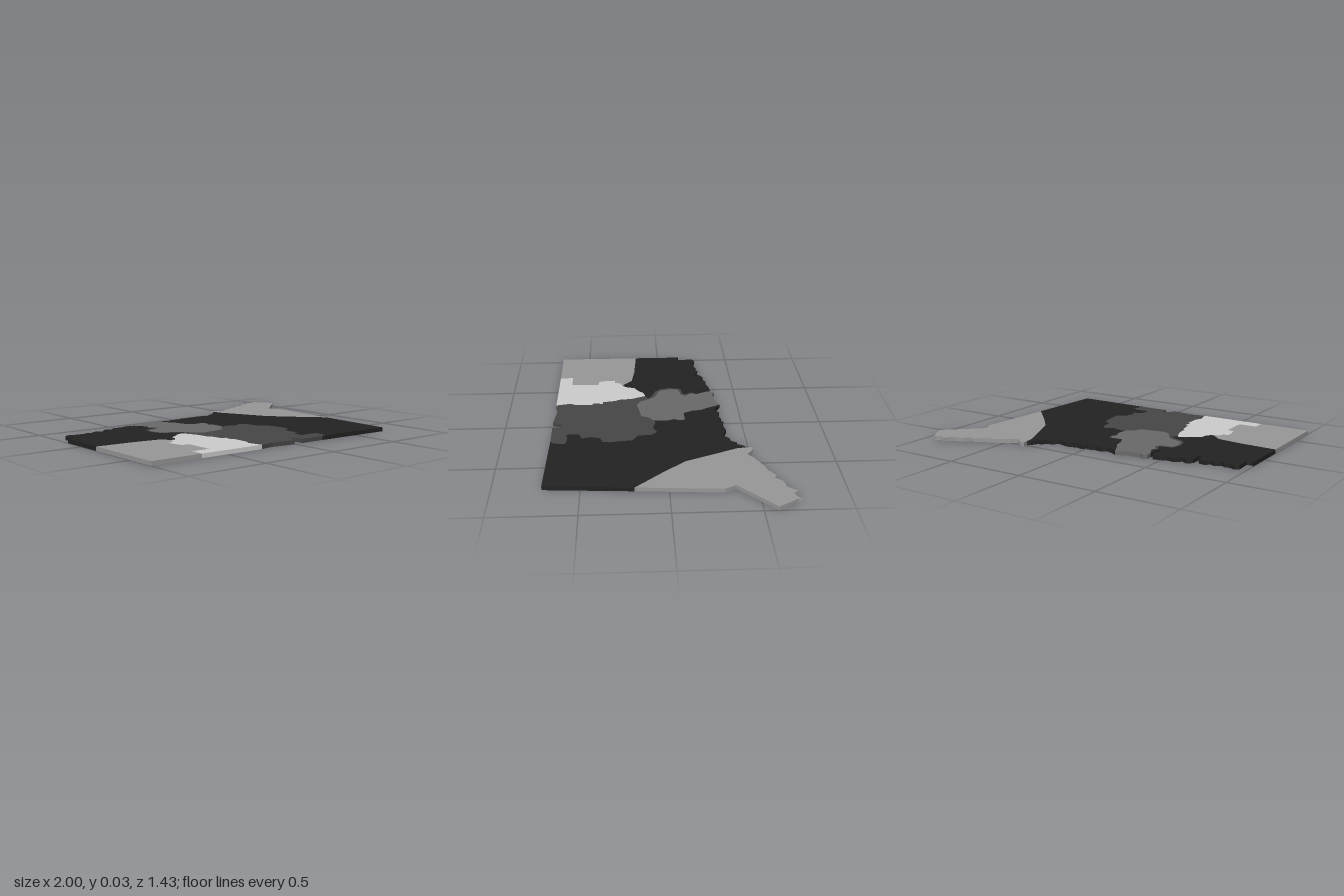
import * as THREE from 'three';

const THICKNESS = 0.025;

// Borders shared by neighbouring regions, as x, z pairs.
const westCoast = [
  -1, -.15, -.98, -.14, -.955, -.15, -.96, -.25, -.93, -.265, -.9, -.25, -.87, -.255, -.845, -.24,
  -.81, -.265, -.78, -.25, -.755, -.275, -.72, -.27, -.705, -.25, -.7, -.185, -.685, -.185,
  -.685, -.28, -.65, -.305, -.62, -.285, -.58, -.32, -.535, -.315, -.49, -.33, -.45, -.335,
  -.435, -.29, -.445, -.225, -.43, -.215, -.42, -.31];
const northCoast = [-.42, -.31, -.42, -.35, -.4, -.36, -.37, -.345, -.3, -.35, -.24, -.37, -.22, -.38];
const centralCoast = [
  -.22, -.38, -.18, -.355, -.14, -.34, -.11, -.365, -.06, -.355, -.02, -.37, 0, -.355, .02, -.38,
  .06, -.37, .13, -.385, .17, -.37, .2, -.36, .235, -.395, .27, -.4, .29, -.435, .31, -.43,
  .335, -.475, .355, -.485];
const eastCoast = [
  .355, -.485, .35, -.52, .38, -.52, .41, -.5, .43, -.48, .45, -.49, .47, -.51, .52, -.535,
  .57, -.56, .62, -.575, .68, -.62, .7, -.6, .74, -.645, .8, -.655, .83, -.69, .845, -.715,
  .86, -.69, .88, -.685, .91, -.7, .925, -.72, .925, -.7, 1, -.58, .775, -.375, .81, -.31, .775, .195];
const eastBorder = [.355, -.485, .36, -.43, .4, -.34, .44, -.25, .5, -.11, .61, .02, .775, .195];
const northWestBorder = [-.42, -.31, -.4, -.27, -.385, -.24, -.4, -.21];
const stripOuter = [
  -.4, -.21, -.41, -.2, -.385, -.165, -.4, -.145, -.47, -.135, -.485, -.06, -.47, 0, -.44, .035,
  -.36, .065, -.335, .09, -.37, .105];
const stripInner = [
  -.4, -.21, -.36, -.16, -.39, -.13, -.46, -.12, -.47, -.07, -.45, 0, -.43, .015, -.36, .04,
  -.33, .07, -.29, .14, -.24, .165, -.15, .15, -.08, .14, -.06, .09, -.015, .06];
const northEastBorder = [
  -.22, -.38, -.18, -.3, -.15, -.25, -.14, -.19, -.11, -.135, -.02, -.14, -.015, -.1,
  -.03, -.07, -.01, -.02, -.015, .06];
const centreEastBorder = [
  -.015, .06, .01, .05, .08, .07, .14, .045, .17, .08, .18, .165, .235, .2, .255, .34, .25, .38,
  .2, .4, .185, .46, .2, .51, .15, .53, .145, .59, .155, .605, .22, .6, .265, .61, .255, .69, .22, .7];
const centreSouth = [
  -.255, .695, -.17, .68, -.1, .69, -.01, .7, 0, .66, .03, .645, .055, .655, .055, .7, .22, .7];
const centreWestBorder = [
  -.37, .105, -.33, .2, -.32, .29, -.305, .3, -.29, .39, -.265, .39, -.275, .45, -.255, .46,
  -.255, .565, -.275, .6, -.27, .63, -.255, .695];
const paleNorthBorder = [-.37, .105, -.42, .12, -.44, .145, -.5, .18, -.505, .22, -.53, .255];
const paleWestBorder = [
  -.53, .255, -.575, .275, -.585, .31, -.62, .31, -.62, .35, -.605, .42, -.56, .425, -.56, .605,
  -.675, .605, -.675, .69];
const southWestBorder = [-.53, .255, -.55, .25, -.61, .195, -.75, .175, -1, .16];

// Turns a flat list into points, optionally in reverse order.
function points(list, reversed = false) {
  const result = [];
  for (let i = 0; i < list.length; i += 2) result.push(new THREE.Vector2(list[i], -list[i + 1]));
  return reversed ? result.reverse() : result;
}
const back = (list) => points(list, true);

// Extrudes one region upward from a closed chain of borders.
function region(name, material, ...borders) {
  const outline = borders.flat().filter((p, i, all) => i === 0 || p.distanceTo(all[i - 1]) > 1e-6);
  if (outline[0].distanceTo(outline[outline.length - 1]) < 1e-6) outline.pop();
  const geometry = new THREE.ExtrudeGeometry(new THREE.Shape(outline), { depth: THICKNESS, bevelEnabled: false });
  geometry.rotateX(-Math.PI / 2);
  const mesh = new THREE.Mesh(geometry, material);
  mesh.name = name;
  return mesh;
}

function flat(name, color) {
  const material = new THREE.MeshStandardMaterial({ color });
  material.name = name;
  return material;
}

export function createModel() {
  const black = flat('black', 0x222222);
  const charcoal = flat('charcoal', 0x464646);
  const midGrey = flat('mid grey', 0x696969);
  const grey = flat('grey', 0x979797);
  const pale = flat('pale grey', 0xcccccc);

  const group = new THREE.Group();
  group.name = 'regionMap';
  group.add(
    region('northWestRegion', black, points(westCoast), points(northWestBorder), points(stripOuter),
      points(paleNorthBorder), points(southWestBorder)),
    region('northRegion', midGrey, points(northCoast), points(northEastBorder), back(stripInner),
      back(northWestBorder)),
    region('southEastRegion', black, points(centralCoast), points(eastBorder), points([.74, .715]),
      back(centreEastBorder), back(northEastBorder)),
    region('eastRegion', grey, points(eastCoast), back(eastBorder)),
    region('centreRegion', charcoal, points(stripInner), points(centreEastBorder), back(centreSouth),
      back(centreWestBorder), back(stripOuter)),
    region('paleRegion', pale, points(centreWestBorder), back(paleWestBorder), back(paleNorthBorder)),
    region('southWestRegion', grey, points(paleWestBorder), points([-1, .69]), back(southWestBorder)),
  );
  return group;
}
